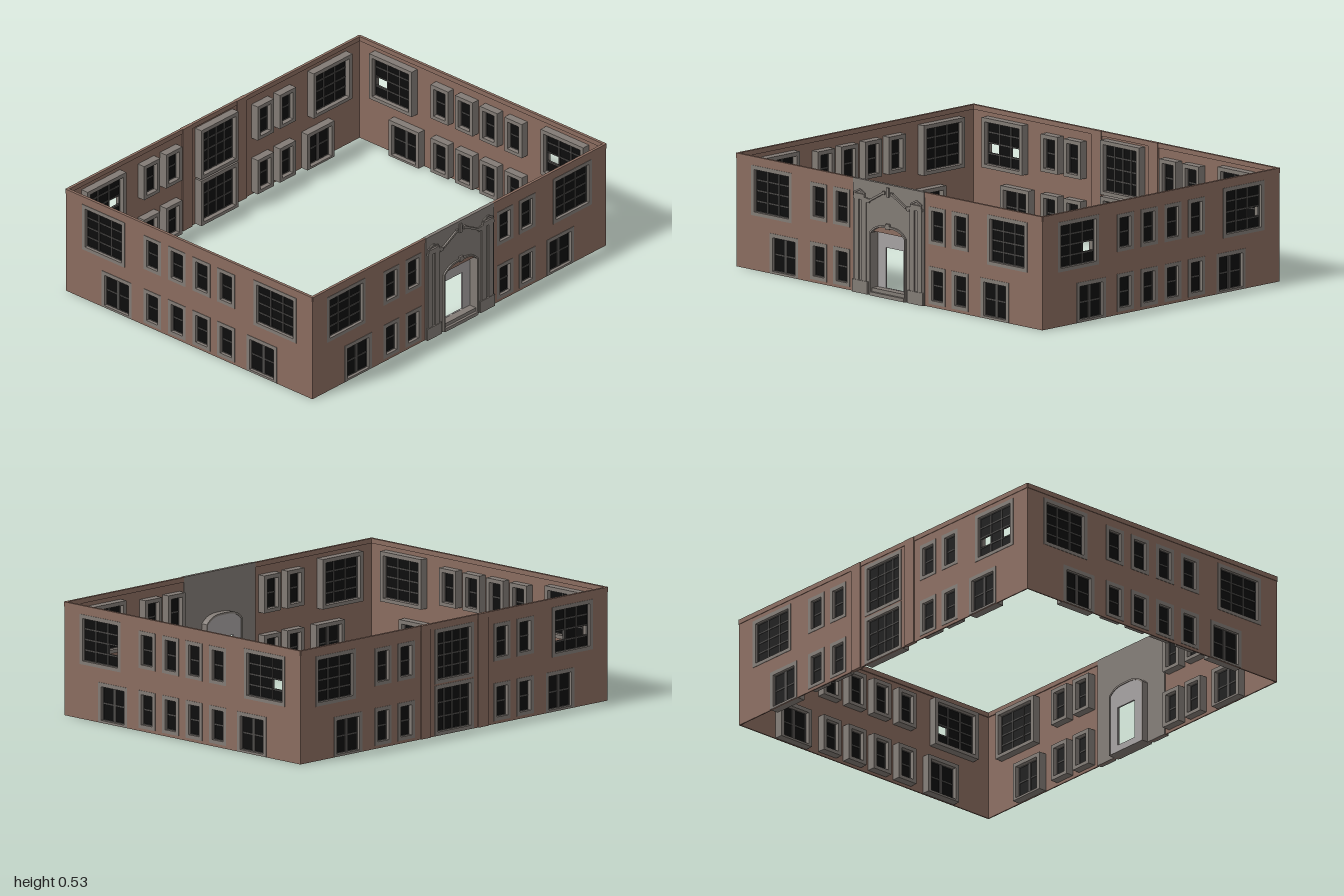
import * as THREE from 'three';

const mat = (name, color) => {
  const m = new THREE.MeshStandardMaterial({ color });
  m.name = name;
  return m;
};

const H = 0.533;       // wall height
const T = 0.006;       // wall thickness
const REVEAL = 0.045;  // depth of the window surrounds behind the wall face

export function createModel() {
  const brick = mat('brick', 0x8a6c5f);
  const stone = mat('stone', 0x827b75);
  const pale = mat('paleStone', 0xa5a1a1);
  const glass = mat('darkGlass', 0x0d0d0d);
  const bars = mat('windowBars', 0x4c4a48);

  const add = (parent, name, geo, material, x = 0, y = 0, z = 0) => {
    const m = new THREE.Mesh(geo, material);
    m.name = name;
    m.position.set(x, y, z);
    parent.add(m);
    return m;
  };
  // box given by its limits
  const block = (parent, name, material, x0, x1, y0, y1, z0, z1) =>
    add(parent, name, new THREE.BoxGeometry(x1 - x0, y1 - y0, z1 - z0), material,
      (x0 + x1) / 2, (y0 + y1) / 2, (z0 + z1) / 2);
  const rect = (x0, x1, y0, y1, C = THREE.Shape) =>
    new C([[x0, y0], [x1, y0], [x1, y1], [x0, y1]].map(p => new THREE.Vector2(...p)));
  // rectangle closed by a shallow arch
  const arch = (w, y0, spring, top, C = THREE.Shape) => {
    const p = new C();
    p.moveTo(-w, y0);
    p.lineTo(w, y0);
    p.lineTo(w, spring);
    p.bezierCurveTo(w * 0.7, top, w * 0.4, top, 0, top);
    p.bezierCurveTo(-w * 0.4, top, -w * 0.7, top, -w, spring);
    p.lineTo(-w, y0);
    return p;
  };
  const slab = (parent, name, material, shape, z0, z1) =>
    add(parent, name, new THREE.ExtrudeGeometry(shape,
      { depth: z1 - z0, bevelEnabled: false, curveSegments: 10 }), material, 0, 0, z0);

  const outer = o => [o.u - o.w / 2 - 0.019, o.u + o.w / 2 + 0.019,
    Math.max(0.002, o.y0 - 0.017), o.y1 + 0.019];

  // stone surround, glazing bars and panes
  function addWindow(wall, o) {
    const g = new THREE.Group();
    g.name = 'window';
    wall.add(g);
    const x0 = o.u - o.w / 2, x1 = o.u + o.w / 2;
    const ring = rect(...outer(o));
    ring.holes.push(rect(x0, x1, o.y0, o.y1, THREE.Path));
    slab(g, 'windowSurround', stone, ring, -REVEAL, 0.002);
    const cw = o.w / o.cols, ch = (o.y1 - o.y0) / o.rows, b = 0.003;
    for (let c = 0; c <= o.cols; c++) {
      const x = x0 + c * cw, k = o.thick && c === 1 ? 0.008 : b;
      block(g, 'mullion', bars, x - k, x + k, o.y0, o.y1, -0.024, -0.012);
    }
    for (let r = 0; r <= o.rows; r++) {
      const y = o.y0 + r * ch;
      block(g, 'glazingBar', bars, x0, x1, y - b, y + b, -0.023, -0.013);
    }
    for (let c = 0; c < o.cols; c++) for (let r = 0; r < o.rows; r++) {
      if (o.open && r === 1 && o.open.includes(c)) continue;
      block(g, 'pane', glass, x0 + c * cw, x0 + (c + 1) * cw,
        o.y0 + r * ch, o.y0 + (r + 1) * ch, -0.02, -0.016);
    }
  }

  // brick wall facing local +z with its windows and cornice
  function makeWall(name, half, windows, doorway) {
    const g = new THREE.Group();
    g.name = name;
    const s = rect(-half, half, 0, H);
    windows.forEach(o => s.holes.push(rect(...outer(o), THREE.Path)));
    if (doorway) s.holes.push(rect(-0.11, 0.11, 0.001, 0.3, THREE.Path));
    slab(g, 'brickWall', brick, s, -T, 0);
    block(g, 'cornice', brick, -half, half, 0.51, H, -0.011, 0.003);
    windows.forEach(o => addWindow(g, o));
    return g;
  }

  // windows mirrored about the wall centre
  function openings(small, smallW, door, doorW, large, largeW, openAt = {}) {
    const list = [];
    for (const s of [-1, 1]) {
      for (const u of small) {
        list.push({ u: s * u, w: smallW, y0: 0.312, y1: 0.452, cols: 1, rows: 2 });
        list.push({ u: s * u, w: smallW, y0: 0.031, y1: 0.172, cols: 1, rows: 2 });
      }
      list.push({ u: s * door, w: doorW, y0: 0.012, y1: 0.17, cols: 2, rows: 2, thick: true });
      list.push({ u: s * large, w: largeW, y0: 0.273, y1: 0.472, cols: 3, rows: 4, open: openAt[s] });
    }
    return list;
  }
  const endWall = openAt => openings([0.0765, 0.23], 0.071, 0.4525, 0.15, 0.5345, 0.228, openAt);
  const sideWall = openAt => openings([0.311, 0.461], 0.071, 0.687, 0.146, 0.768, 0.224, openAt);

  // stone entrance bay with arched niche, pilasters and broken pediment
  function addEntrance(wall) {
    const g = new THREE.Group();
    g.name = 'entrance';
    wall.add(g);
    const face = rect(-0.231, 0.231, 0, H + 0.001);
    face.holes.push(arch(0.11, 0.001, 0.295, 0.33, THREE.Path));
    slab(g, 'entranceFace', stone, face, -0.012, 0.006);
    const hood = arch(0.116, 0, 0.298, 0.338);
    hood.holes.push(arch(0.109, 0.001, 0.294, 0.329, THREE.Path));
    slab(g, 'archSurround', stone, hood, -REVEAL, 0.014);
    const back = arch(0.11, 0, 0.295, 0.33);
    back.holes.push(rect(-0.058, 0.058, 0.035, 0.225, THREE.Path));
    slab(g, 'nichePanel', pale, back, -0.042, -0.034);
    block(g, 'lowerStep', stone, -0.11, 0.11, 0, 0.017, -0.034, 0.017);
    block(g, 'upperStep', stone, -0.11, 0.11, 0.017, 0.034, -0.034, 0.004);
    for (const s of [-1, 1]) {
      const at = (name, u, w, y0, y1, z) =>
        block(g, name, stone, s * u - w / 2, s * u + w / 2, y0, y1, 0, z);
      at('pilasterBase', 0.18, 0.098, 0, 0.06, 0.014);
      at('pilaster', 0.205, 0.03, 0.06, 0.44, 0.011);
      at('pilaster', 0.158, 0.03, 0.06, 0.44, 0.011);
      at('capital', 0.18, 0.088, 0.44, 0.453, 0.014);
      at('pilasterCap', 0.185, 0.07, 0.453, 0.467, 0.015);
      for (const t of [-1, 1]) {
        const cap = at('capGable', 0.185 + t * 0.017, 0.038, 0.473, 0.481, 0.012);
        cap.rotation.z = -s * t * 0.45;
      }
      const rake = at('rakingCornice', 0.075, 0.1, 0.462, 0.472, 0.015);
      rake.rotation.z = -s * 0.5;
      at('pedimentEnd', 0.13, 0.02, 0.43, 0.45, 0.013);
      at('pedimentScroll', 0.025, 0.014, 0.485, 0.5, 0.015);
    }
    block(g, 'finial', stone, -0.007, 0.007, 0.475, 0.52, 0, 0.013);
    block(g, 'keystone', stone, -0.012, 0.012, 0.325, 0.35, 0, 0.016);
  }

  const model = new THREE.Group();
  model.name = 'building';
  const W = 0.7675, cx = -0.007;

  const front = makeWall('frontWall', W, endWall());
  front.position.set(cx, 0, 0.997);

  const back = makeWall('backWall', W, endWall({ '-1': [2], 1: [2] }));
  back.rotation.y = Math.PI;
  back.position.set(cx, 0, -0.997);

  const left = makeWall('entranceWall', 0.997, sideWall(), true);
  left.rotation.y = Math.PI / 2;
  left.position.x = cx + W;
  addEntrance(left);

  // opposite side wall with two tall central windows between brick pilasters
  const right = makeWall('rearSideWall', 0.997, [...sideWall({ 1: [0, 2] }),
    { u: 0, w: 0.215, y0: 0.262, y1: 0.482, cols: 4, rows: 4 },
    { u: 0, w: 0.215, y0: 0.018, y1: 0.218, cols: 4, rows: 3 }]);
  right.rotation.y = -Math.PI / 2;
  right.position.x = cx - W;
  for (const s of [-1, 1]) {
    block(right, 'brickPilaster', brick, s * 0.185 - 0.032, s * 0.185 + 0.032, 0, H, -0.014, 0.005);
  }

  model.add(front, back, left, right);
  return model;
}
